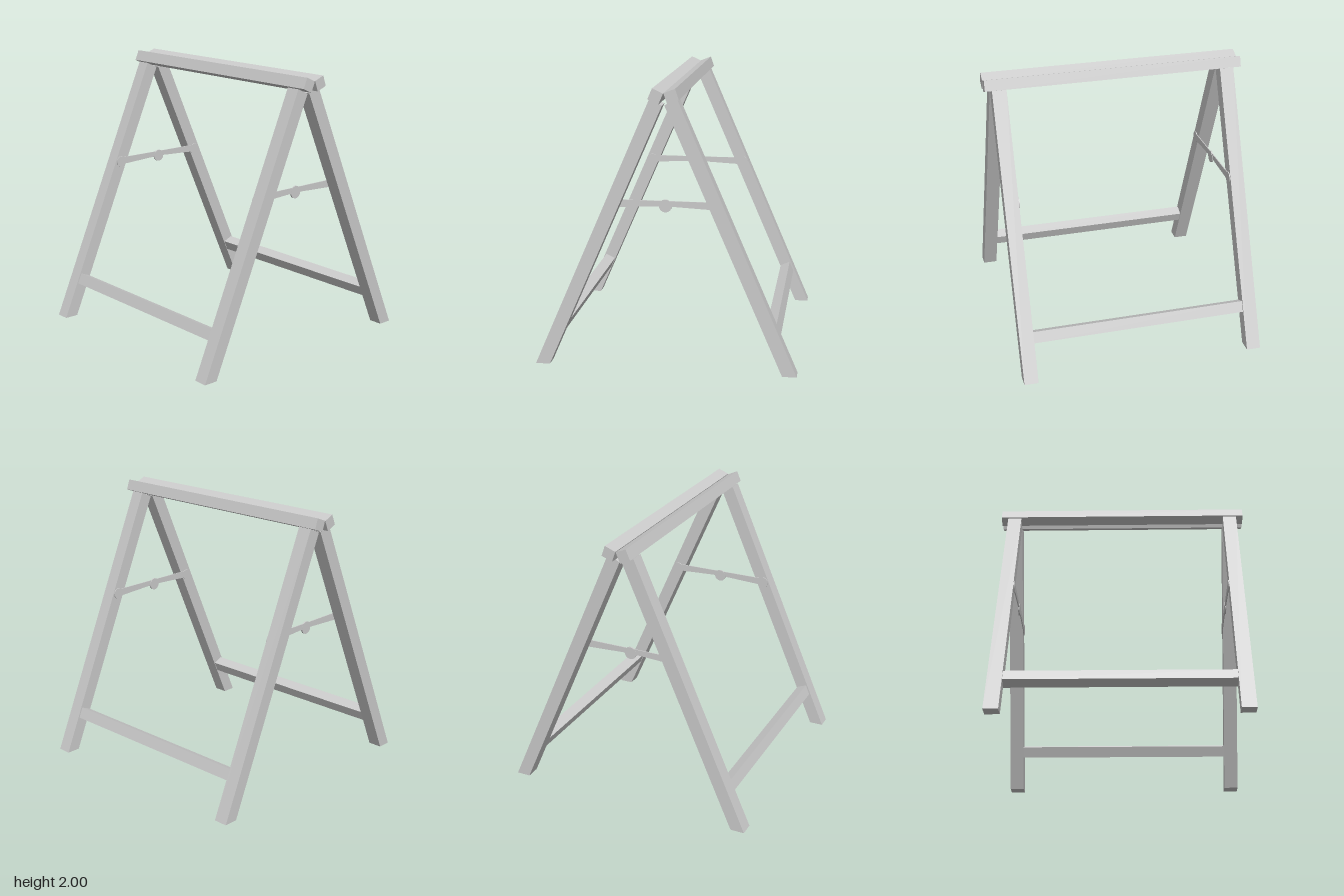
import * as THREE from 'three';

const material = new THREE.MeshStandardMaterial({ color: 0xcccccc, flatShading: true });

// Extrude a side profile of [z, y] points across x from x0 to x1.
function bar(name, points, x0, x1) {
  const shape = new THREE.Shape(points.map(([z, y]) => new THREE.Vector2(z, y)));
  const geometry = new THREE.ExtrudeGeometry(shape, { depth: x1 - x0, bevelEnabled: false });
  geometry.rotateY(-Math.PI / 2);
  geometry.translate(x1, 0, 0);
  const mesh = new THREE.Mesh(geometry, material);
  mesh.name = name;
  return mesh;
}

// Points on a circular arc, angles in degrees.
function arc(z, y, r, from, to, steps) {
  return Array.from({ length: steps + 1 }, (_, i) => {
    const a = THREE.MathUtils.degToRad(from + ((to - from) * i) / steps);
    return [z + r * Math.cos(a), y + r * Math.sin(a)];
  });
}

const LEG = [[0.93, 0], [0.096, 1.918], [0.008, 1.879], [0.828, 0]];
const CROSSBAR = [[0.775, 0.332], [0.807, 0.257], [0.734, 0.225], [0.702, 0.3]];
const FRONT_RAIL = [[0.066, 2], [0.098, 1.926], [0.024, 1.892], [-0.008, 1.967]];
const BACK_RAIL = [[-0.088, 2], [-0.114, 1.926], [-0.036, 1.896], [-0.01, 1.97]];
// Tapered folding strut with a rounded eye fixed to the leg.
const STRUT = [[0, 1.163], ...arc(0.372, 1.168, 0.042, -150, 130, 16), [0, 1.2]];
const HINGE = arc(0.005, 1.165, 0.045, 0, 345, 23);

export function createModel() {
  const model = new THREE.Group();
  model.name = 'sawhorse';

  // Two matching leaning frames
  for (const [label, s] of [['front', 1], ['back', -1]]) {
    const flip = (points) => points.map(([z, y]) => [z * s, y]);
    const frame = new THREE.Group();
    frame.name = label + 'Frame';
    frame.add(
      bar('leftLeg', flip(LEG), 0.79, 0.893),
      bar('rightLeg', flip(LEG), -0.893, -0.79),
      bar('crossbar', flip(CROSSBAR), -0.79, 0.79),
      bar('topRail', s > 0 ? FRONT_RAIL : BACK_RAIL, -0.945, 0.945),
      bar('leftStrut', flip(STRUT), 0.783, 0.79),
      bar('rightStrut', flip(STRUT), -0.79, -0.783)
    );
    model.add(frame);
  }

  // Strut hinges
  model.add(bar('leftHinge', HINGE, 0.78, 0.791), bar('rightHinge', HINGE, -0.791, -0.78));
  return model;
}
